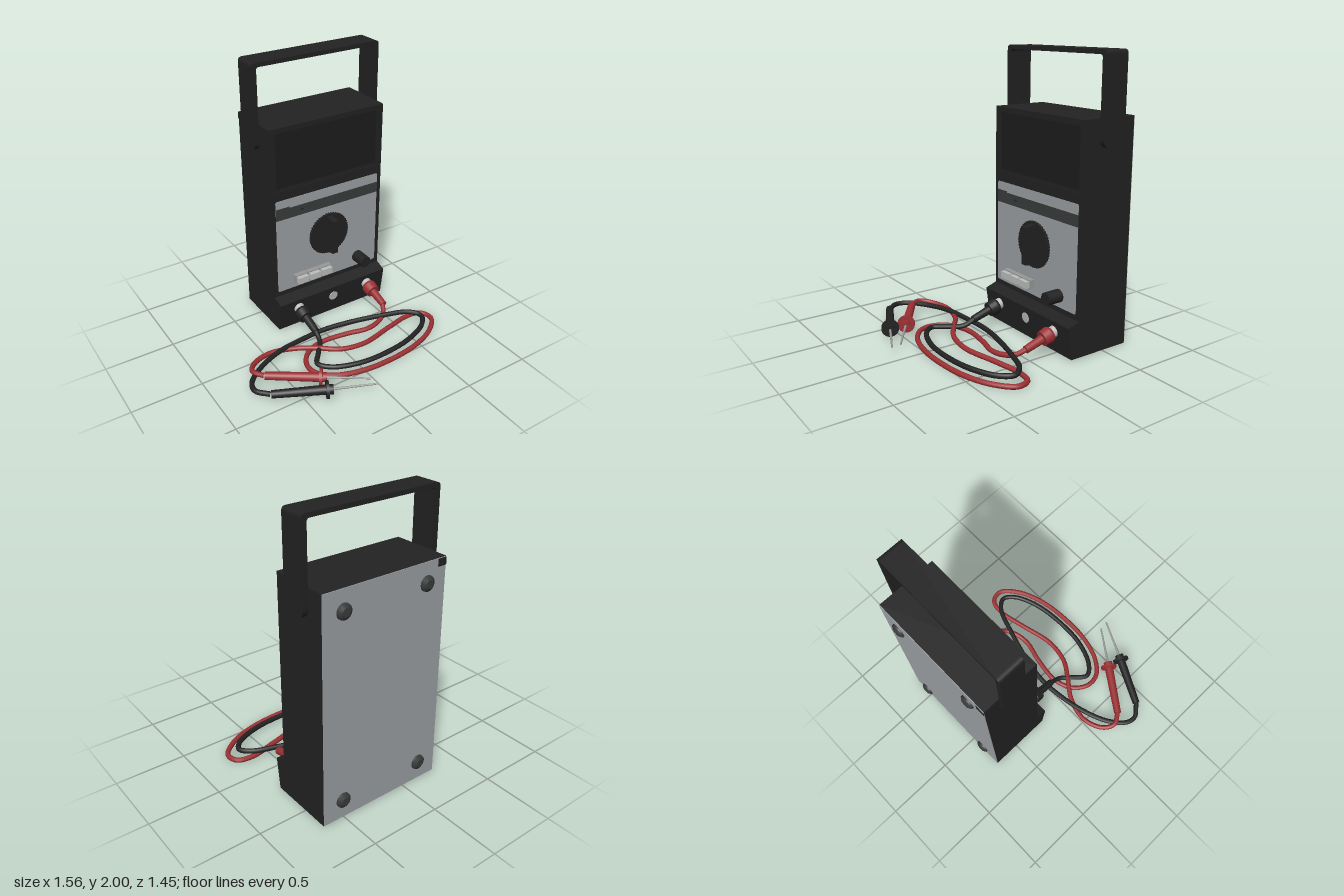
import * as THREE from 'three';

const paint = (name, color) => Object.assign(new THREE.MeshStandardMaterial({ color }), { name });
const V = (x, y, z) => new THREE.Vector3(x, y, z);

export function createModel() {
  const model = new THREE.Group();
  model.name = 'multimeter';
  const black = paint('black plastic', 0x222222);
  const dark = paint('dark recess', 0x1c1c1c);
  const grey = paint('grey panel', 0x9ca1a3);
  const band = paint('charcoal band', 0x3a3b3b);
  const pale = paint('pale grey', 0xbcbebe);
  const red = paint('red plastic', 0x9c3033);
  const metal = paint('metal', 0x9a9a9a);

  const CX = 0.195, FRONT = -0.275;

  const add = (name, geometry, material, parent = model) => {
    const mesh = new THREE.Mesh(geometry, material);
    mesh.name = name;
    parent.add(mesh);
    return mesh;
  };
  // Box given by its minimum and maximum corners
  const box = (name, a, b, material) => {
    const mesh = add(name, new THREE.BoxGeometry(b[0] - a[0], b[1] - a[1], b[2] - a[2]), material);
    mesh.position.set((a[0] + b[0]) / 2, (a[1] + b[1]) / 2, (a[2] + b[2]) / 2);
    return mesh;
  };
  // Straight round piece between two points
  const rod = (name, a, b, r0, r1, material, parent = model, sides = 24) => {
    const dir = b.clone().sub(a);
    const mesh = add(name, new THREE.CylinderGeometry(r1, r0, dir.length(), sides), material, parent);
    mesh.position.copy(a).add(b).multiplyScalar(0.5);
    mesh.quaternion.setFromUnitVectors(V(0, 1, 0), dir.normalize());
    return mesh;
  };
  // Rectangle outline with rounded corners
  const roundRect = (x0, y0, x1, y1, r, Type = THREE.Shape) => {
    const s = new Type();
    s.moveTo(x0 + r, y0);
    s.lineTo(x1 - r, y0); s.quadraticCurveTo(x1, y0, x1, y0 + r);
    s.lineTo(x1, y1 - r); s.quadraticCurveTo(x1, y1, x1 - r, y1);
    s.lineTo(x0 + r, y1); s.quadraticCurveTo(x0, y1, x0, y1 - r);
    s.lineTo(x0, y0 + r); s.quadraticCurveTo(x0, y0, x0 + r, y0);
    return s;
  };
  const extrude = (shape, depth) =>
    new THREE.ExtrudeGeometry(shape, { depth, bevelEnabled: false, curveSegments: 6 });
  // Side profile (z, y) swept from x0 to x1
  const sweepX = (shape, x0, x1) => extrude(shape, x1 - x0).rotateY(-Math.PI / 2).translate(x1, 0, 0);

  // Case with the sloping socket ledge at its foot
  const profile = new THREE.Shape([
    [-0.695, 0.01], [-0.22, 0.01], [-0.19, 0.235], [-0.275, 0.265],
    [-0.292, 0.265], [-0.292, 1.58], [-0.695, 1.58],
  ].map(([z, y]) => new THREE.Vector2(z, y)));
  add('case', sweepX(profile, -0.27, 0.66), black);

  // Front frame with the display window cut through
  const frame = roundRect(-0.27, 0.26, 0.66, 1.58, 0.002);
  frame.holes.push(roundRect(-0.235, 1.115, 0.63, 1.555, 0.006, THREE.Path));
  add('frontFrame', extrude(frame, 0.018).translate(0, 0, FRONT - 0.018), black);
  const rim = roundRect(-0.235, 1.115, 0.63, 1.555, 0.004);
  rim.holes.push(roundRect(-0.22, 1.13, 0.615, 1.54, 0.004, THREE.Path));
  add('displayRim', extrude(rim, 0.01).translate(0, 0, -0.292), black);
  box('displayWindow', [-0.22, 1.13, -0.292], [0.615, 1.54, -0.288], dark);

  // Control panel and its band
  add('controlPanel', extrude(roundRect(-0.238, 0.303, 0.627, 1.045, 0.015), 0.004).translate(0, 0, FRONT), grey);
  box('panelBand', [-0.238, 0.895, FRONT], [0.627, 0.975, FRONT + 0.006], band);
  box('panelBandStep', [-0.238, 0.975, FRONT], [-0.13, 0.985, FRONT + 0.006], band);
  box('panelMark', [-0.035, 0.933, FRONT], [-0.015, 0.945, FRONT + 0.008], black);

  // Range selector: finely notched disc with a tapered grip
  const disc = new THREE.Shape();
  const notches = 48;
  for (let i = 0; i < notches * 2; i++) {
    const a = (i / notches) * Math.PI, r = i % 2 ? 0.159 : 0.166;
    disc[i ? 'lineTo' : 'moveTo'](Math.cos(a) * r, Math.sin(a) * r);
  }
  add('selectorDisc', extrude(disc, 0.022).translate(CX, 0.675, FRONT), black);
  const grip = new THREE.Shape([[FRONT, 0.525], [-0.175, 0.545], [-0.175, 0.81], [FRONT, 0.825]]
    .map(([z, y]) => new THREE.Vector2(z, y)));
  add('selectorGrip', sweepX(grip, CX - 0.021, CX + 0.021), black);

  // Push buttons and adjusting knob
  for (let i = 0; i < 3; i++) {
    const x = -0.11 + i * 0.103;
    box('buttonSurround', [x, 0.353, FRONT], [x + 0.1, 0.417, -0.235], metal);
    box('button', [x + 0.007, 0.361, FRONT], [x + 0.093, 0.409, -0.203], pale);
  }
  rod('adjustKnob', V(0.46, 0.385, FRONT), V(0.46, 0.385, -0.155), 0.046, 0.044, black);

  // Back plate, dark corner chip and feet
  box('backPlate', [-0.268, 0.012, -0.7], [0.658, 1.578, -0.695], grey);
  box('cornerChip', [-0.27, 1.525, -0.703], [-0.205, 1.575, -0.698], black);
  for (const x of [-0.12, 0.51]) for (const y of [0.145, 1.44]) {
    rod('foot', V(x, y, -0.695), V(x, y, -0.713), 0.053, 0.05, band);
    rod('footCap', V(x, y, -0.713), V(x, y, -0.727), 0.05, 0.028, band);
  }

  // Carrying handle: arch plus round-ended arms
  const arch = new THREE.Shape();
  arch.moveTo(-0.308, 1.55);
  arch.lineTo(-0.272, 1.55);
  arch.lineTo(-0.272, 1.95); arch.quadraticCurveTo(-0.272, 1.97, -0.25, 1.97);
  arch.lineTo(0.64, 1.97); arch.quadraticCurveTo(0.662, 1.97, 0.662, 1.95);
  arch.lineTo(0.662, 1.55); arch.lineTo(0.698, 1.55);
  arch.lineTo(0.698, 1.97); arch.quadraticCurveTo(0.698, 2, 0.668, 2);
  arch.lineTo(-0.278, 2); arch.quadraticCurveTo(-0.308, 2, -0.308, 1.97);
  add('handleArch', extrude(arch, 0.18).translate(0, 0, -0.58), black);
  const arm = new THREE.Shape();
  arm.moveTo(-0.4, 1.55);
  arm.lineTo(-0.58, 1.55);
  arm.lineTo(-0.58, 1.46); arm.quadraticCurveTo(-0.58, 1.39, -0.51, 1.39);
  arm.lineTo(-0.47, 1.39); arm.quadraticCurveTo(-0.4, 1.39, -0.4, 1.46);
  for (const x of [-0.308, 0.66]) add('handleArm', sweepX(arm, x, x + 0.038), black);

  // Sockets
  rod('middleSocket', V(CX, 0.155, -0.215), V(CX, 0.153, -0.195), 0.037, 0.037, pale);

  // A test lead: socket, plug, cable, probe. Cable points are [x, z, y]
  const lead = (name, x, material, path, probeEnd, tipEnd) => {
    const g = new THREE.Group();
    g.name = name;
    model.add(g);
    const at = z => V(x, 0.155 - 0.3 * (z + 0.18), z);
    rod('socketRing', at(-0.23), at(-0.165), 0.04, 0.04, pale, g);
    rod('plugCollar', at(-0.172), at(-0.155), 0.05, 0.057, material, g);
    rod('plugHead', at(-0.155), at(-0.1), 0.057, 0.052, material, g);
    rod('plugSleeve', at(-0.1), at(0.035), 0.03, 0.026, material, g);
    const pts = [at(0.02), ...path.map(([px, pz, py]) => V(px, py, pz))];
    add('cable', new THREE.TubeGeometry(new THREE.CatmullRomCurve3(pts), 180, 0.018, 10), material, g);
    const start = pts[pts.length - 1], dir = probeEnd.clone().sub(start).normalize();
    const along = d => probeEnd.clone().addScaledVector(dir, d);
    rod('probeGrip', start, probeEnd, 0.027, 0.034, material, g);
    rod('probeGuard', along(-0.05), along(-0.03), 0.062, 0.062, material, g);
    rod('probeTip', along(-0.01), tipEnd, 0.009, 0.006, metal, g, 10);
  };
  lead('blackLead', -0.11, black, [
    [-0.125, 0.11, 0.055], [-0.2, 0.205, 0.045], [-0.26, 0.29, 0.04], [-0.2, 0.37, 0.04],
    [-0.02, 0.44, 0.04], [0.19, 0.455, 0.04], [0.44, 0.425, 0.045], [0.625, 0.345, 0.05],
    [0.685, 0.26, 0.055], [0.625, 0.18, 0.06], [0.44, 0.11, 0.06], [0.19, 0.04, 0.055],
    [-0.02, 0.005, 0.05], [-0.2, 0.012, 0.05], [-0.43, 0.054, 0.06], [-0.62, 0.13, 0.055],
    [-0.74, 0.23, 0.055], [-0.76, 0.31, 0.055], [-0.69, 0.402, 0.06],
  ], V(-0.325, 0.067, 0.588), V(-0.055, 0.077, 0.715));
  lead('redLead', 0.5, red, [
    [0.46, 0.085, 0.055], [0.375, 0.13, 0.035], [0.27, 0.142, 0.025], [0.11, 0.105, 0.022],
    [-0.1, 0.084, 0.02], [-0.245, 0.137, 0.02], [-0.318, 0.248, 0.02], [-0.305, 0.35, 0.02],
    [-0.2, 0.443, 0.02], [-0.02, 0.5, 0.02], [0.19, 0.513, 0.02], [0.44, 0.485, 0.02],
    [0.645, 0.405, 0.02], [0.76, 0.29, 0.02], [0.735, 0.2, 0.02], [0.625, 0.175, 0.02],
    [0.42, 0.215, 0.025], [0.15, 0.273, 0.03], [-0.04, 0.245, 0.04], [-0.18, 0.153, 0.05],
    [-0.31, 0.062, 0.04], [-0.49, 0.017, 0.045], [-0.64, 0.07, 0.055], [-0.69, 0.153, 0.07],
    [-0.645, 0.236, 0.075],
  ], V(-0.305, 0.078, 0.478), V(-0.066, 0.075, 0.645));

  return model;
}
